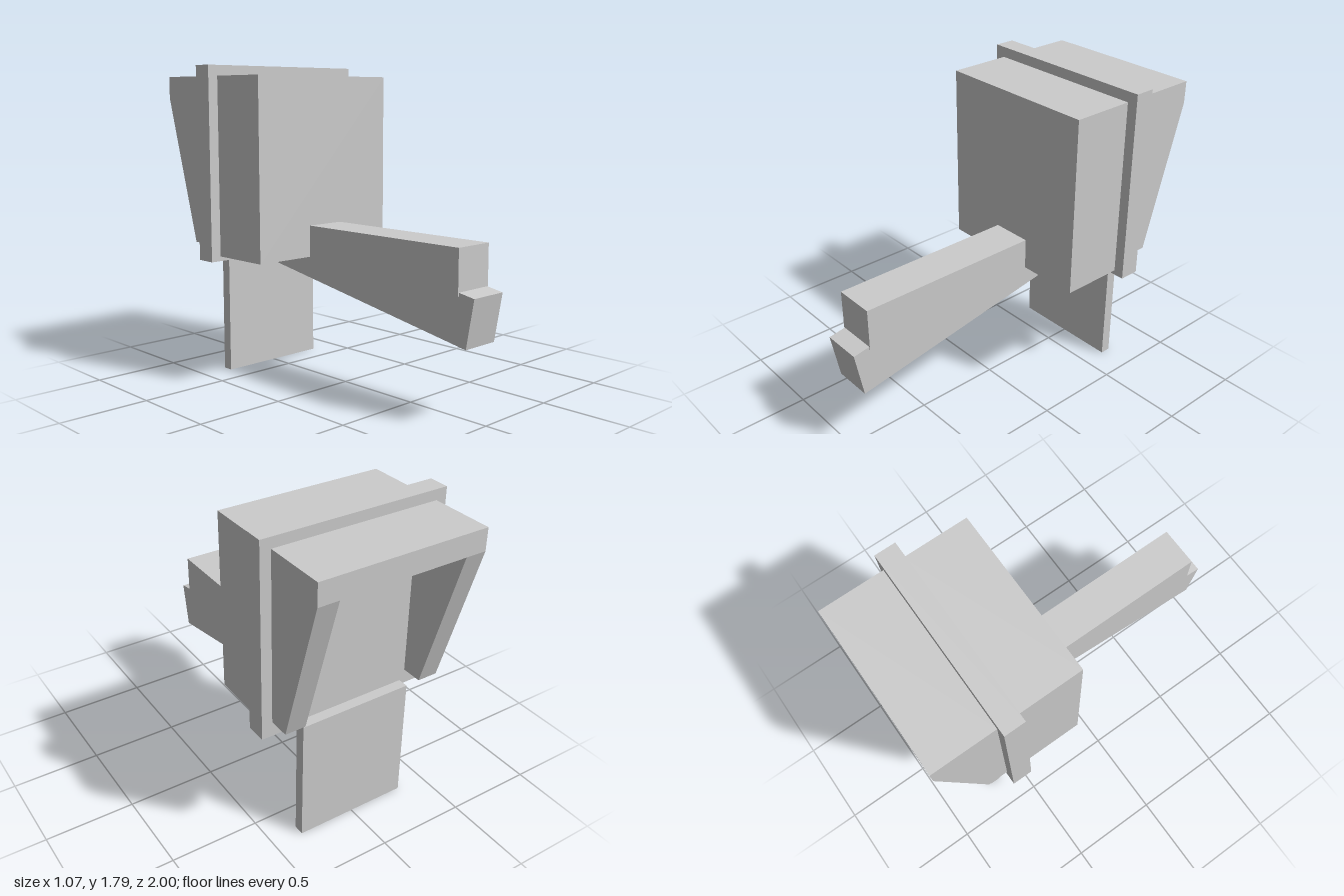
import * as THREE from 'three';

const material = new THREE.MeshStandardMaterial({ color: 0xcccccc, flatShading: true });

// Box given by its limits on each axis, symmetric in x
function box(name, halfX, y0, y1, z0, z1) {
  const mesh = new THREE.Mesh(new THREE.BoxGeometry(2 * halfX, y1 - y0, z1 - z0), material);
  mesh.name = name;
  mesh.position.set(0, (y0 + y1) / 2, (z0 + z1) / 2);
  return mesh;
}

// Side profile of [z, y] points, extruded across x from x0 to x1
function sideProfile(name, points, x0, x1) {
  const shape = new THREE.Shape(points.map(([z, y]) => new THREE.Vector2(-z, y)));
  const geometry = new THREE.ExtrudeGeometry(shape, { depth: x1 - x0, bevelEnabled: false });
  geometry.rotateY(Math.PI / 2); // shape x becomes -z, depth becomes +x
  geometry.translate(x0, 0, 0);
  const mesh = new THREE.Mesh(geometry, material);
  mesh.name = name;
  return mesh;
}

export function createModel() {
  const model = new THREE.Group();
  model.name = 'model';

  // Front housing and the wider flange behind it
  model.add(box('frontHousing', 0.475, 0.717, 1.728, -0.53, -0.167));
  model.add(box('flange', 0.535, 0.69, 1.787, -0.642, -0.526));

  // Rear hood: thick top and two tapered side walls, open at back and bottom
  const hood = new THREE.Group();
  hood.name = 'rearHood';
  hood.add(box('hoodTop', 0.475, 1.605, 1.728, -1, -0.64));
  const wall = [[-0.64, 0.775], [-0.76, 0.775], [-1, 1.605], [-0.64, 1.605]];
  hood.add(sideProfile('hoodWallLeft', wall, 0.358, 0.475));
  hood.add(sideProfile('hoodWallRight', wall, -0.475, -0.358));
  model.add(hood);

  // Flat plate hanging below the hood
  model.add(box('hangingPlate', 0.33, 0, 0.717, -0.702, -0.642));

  // Level upper arm, and a slightly narrower beam sloping down to the front
  model.add(box('upperArm', 0.117, 0.655, 0.895, -0.3, 0.905));
  const beam = [[1, 0.658], [0.954, 0.398], [-0.628, 0.677], [-0.582, 0.937]];
  model.add(sideProfile('slopingBeam', beam, -0.112, 0.112));

  return model;
}
